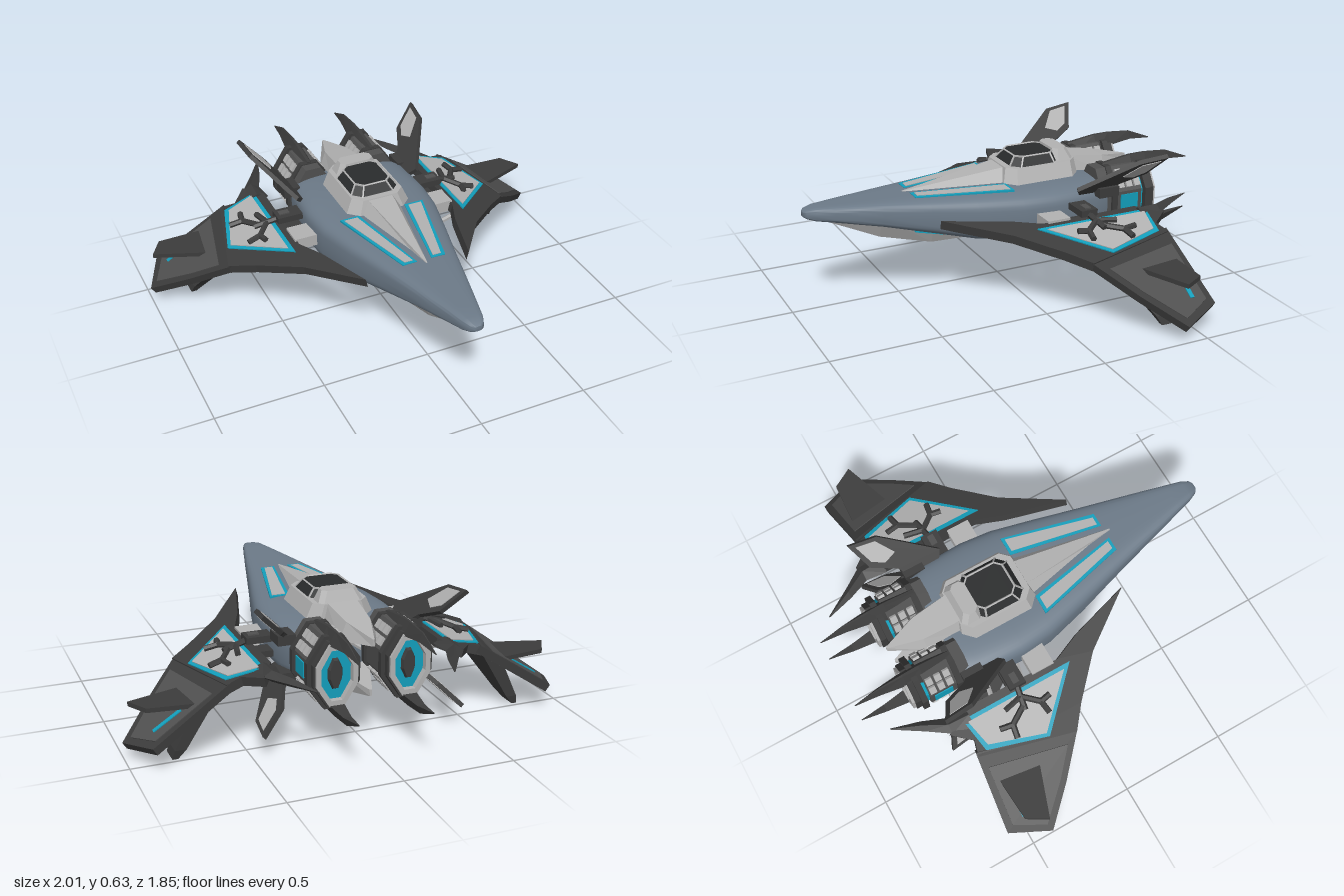
import * as THREE from 'three';
import { toCreasedNormals } from 'three/addons/utils/BufferGeometryUtils.js';

const paint = (color, flatShading = true) => new THREE.MeshStandardMaterial({ color, flatShading });
const MID_Y = 0.37; // height of the up/down mirror plane

// Skin a list of rings; the first ring runs counter-clockwise seen from its own end
function loft(rings) {
  const n = rings[0].length, pos = [];
  const tri = (a, b, c) => pos.push(...a, ...b, ...c);
  for (let i = 0; i < rings.length - 1; i++) {
    const a = rings[i], b = rings[i + 1];
    for (let j = 0; j < n; j++) {
      const k = (j + 1) % n;
      tri(a[j], b[j], a[k]);
      tri(a[k], b[j], b[k]);
    }
  }
  const first = rings[0], last = rings[rings.length - 1];
  for (let k = 1; k < n - 1; k++) {
    tri(first[0], first[k], first[k + 1]);
    tri(last[0], last[k + 1], last[k]);
  }
  const g = new THREE.BufferGeometry();
  g.setAttribute('position', new THREE.Float32BufferAttribute(pos, 3));
  g.computeVertexNormals();
  return g;
}

// Ring shapes for lofts along z
const trap = (z, wTop, wBot, yTop, yBot) =>
  [[wBot, yBot, z], [wTop, yTop, z], [-wTop, yTop, z], [-wBot, yBot, z]];
const octPoints = (rx, ry) => [[1, -0.32], [1, 0.32], [0.36, 1], [-0.36, 1],
  [-1, 0.32], [-1, -0.32], [-0.36, -1], [0.36, -1]].map(([x, y]) => [x * rx, y * ry]);
const octRing = (cx, cy, z, rx, ry) => octPoints(rx, ry).map(([x, y]) => [cx + x, cy + y, z]);
// Clipped rectangle for lofts going down in y
const deck = (y, w, z0, z1, c) => [[w, z1 - c], [w, z0 + c], [w - c, z0], [c - w, z0],
  [-w, z0 + c], [-w, z1 - c], [c - w, z1], [w - c, z1]].map(([x, z]) => [x, y, z]);

// Flat plate from [u, z] points; u runs along U, off lifts it off its plane
function plate(pts, origin, U, depth, off = 0, V = [0, 0, -1]) {
  const shape = new THREE.Shape(pts.map(([u, z]) => new THREE.Vector2(u, -z)));
  const g = new THREE.ExtrudeGeometry(shape, { depth, bevelEnabled: false });
  g.translate(0, 0, off - depth / 2);
  const u = new THREE.Vector3(...U), v = new THREE.Vector3(...V);
  const w = u.clone().cross(v).normalize();
  return g.applyMatrix4(new THREE.Matrix4().makeBasis(u, v, w).setPosition(...origin));
}

// Straight bar between two points
function rod(a, b, r, sides = 4) {
  const p = new THREE.Vector3(...a), q = new THREE.Vector3(...b), d = q.clone().sub(p);
  const g = new THREE.CylinderGeometry(r, r, d.length(), sides);
  g.applyQuaternion(new THREE.Quaternion().setFromUnitVectors(new THREE.Vector3(0, 1, 0), d.normalize()));
  return g.translate(...p.add(q).multiplyScalar(0.5).toArray());
}

const box = (w, h, d, x, y, z) => new THREE.BoxGeometry(w, h, d).translate(x, y, z);

function reflect(geo, axis) {
  const g = geo.index ? geo.toNonIndexed() : geo.clone(), p = g.attributes.position;
  for (let i = 0; i < p.count; i++) {
    if (axis === 'x') p.setX(i, -p.getX(i));
    else p.setY(i, 2 * MID_Y - p.getY(i));
  }
  for (let i = 0; i < p.count; i += 3) { // restore winding
    const b = [p.getX(i + 1), p.getY(i + 1), p.getZ(i + 1)];
    p.setXYZ(i + 1, p.getX(i + 2), p.getY(i + 2), p.getZ(i + 2));
    p.setXYZ(i + 2, ...b);
  }
  g.computeVertexNormals();
  return g;
}

export function createModel() {
  const model = new THREE.Group();
  model.name = 'starfighter';
  const slate = paint(0x6c7a88, false), dark = paint(0x3c3c3c), mid = paint(0x505050);
  const light = paint(0xb2b2b2), teal = paint(0x139fbc), glass = paint(0x2a2c2d);

  const put = (name, geo, mat) => {
    const m = new THREE.Mesh(geo, mat);
    m.name = name;
    model.add(m);
  };
  const pair = (name, geo, mat) => {
    put(name + 'Left', geo, mat);
    put(name + 'Right', reflect(geo, 'x'), mat);
  };
  const quad = (name, geo, mat) => {
    pair(name + 'Upper', geo, mat);
    pair(name + 'Lower', reflect(geo, 'y'), mat);
  };

  // Hull: rounded-box sections [z, half width, top, bottom]
  const hull = [[0.93, 0.016, 0.473, 0.45], [0.918, 0.032, 0.482, 0.443], [0.88, 0.049, 0.489, 0.43],
    [0.8, 0.071, 0.49, 0.415], [0.7, 0.099, 0.49, 0.395], [0.6, 0.126, 0.49, 0.375], [0.4, 0.18, 0.49, 0.325],
    [0.2, 0.237, 0.49, 0.275], [0, 0.288, 0.49, 0.252], [-0.15, 0.303, 0.49, 0.25], [-0.36, 0.295, 0.49, 0.25],
    [-0.44, 0.268, 0.475, 0.26]];
  const bulge = (v) => Math.sign(v) * Math.abs(v) ** 0.46;
  put('hull', toCreasedNormals(loft(hull.map(([z, w, t, b]) => Array.from({ length: 48 }, (_, i) => {
    const a = i / 48 * Math.PI * 2;
    return [w * bulge(Math.cos(a)), (t + b) / 2 + (t - b) / 2 * bulge(Math.sin(a)), z];
  }))), 0.8), slate);

  // Keel and spine
  put('keel', loft([trap(0.84, 0.03, 0.015, 0.45, 0.42), trap(0.6, 0.1, 0.05, 0.42, 0.315),
    trap(0.36, 0.12, 0.065, 0.38, 0.252), trap(0.1, 0.13, 0.07, 0.35, 0.245), trap(-0.1, 0.13, 0.07, 0.33, 0.2),
    trap(-0.36, 0.13, 0.07, 0.33, 0.19), trap(-0.46, 0.08, 0.05, 0.3, 0.2), trap(-0.66, 0.006, 0.004, 0.27, 0.24)]), light);
  put('spineFront', loft([trap(0.47, 0.003, 0.006, 0.492, 0.47), trap(0, 0.06, 0.11, 0.55, 0.47)]), light);
  put('spineTail', loft([trap(-0.33, 0.07, 0.1, 0.56, 0.46), trap(-0.52, 0.055, 0.085, 0.53, 0.45),
    trap(-0.68, 0.003, 0.006, 0.5, 0.47)]), light);
  put('tailInset', plate([[-0.035, -0.38], [0.035, -0.38], [0.03, -0.47], [0, -0.55], [-0.03, -0.47]],
    [0, 0.499, 0], [1, 0, 0], 0.012, 0, [0, -0.158, -1]), light);

  // Cockpit
  put('cockpitBase', loft([deck(0.555, 0.125, -0.35, 0.0, 0.04), deck(0.465, 0.165, -0.36, 0.025, 0.05)]), light);
  const roof = deck(0.594, 0.085, -0.255, -0.06, 0.03), sill = deck(0.55, 0.117, -0.275, -0.025, 0.04);
  put('canopyGlass', loft([roof, sill]), glass);
  roof.forEach((p, i) => {
    put('canopyPillar', rod(p, sill[i], 0.005), light);
    put('canopyRoofFrame', rod(p, roof[(i + 1) % 8], 0.005), light);
  });
  put('canopyHump', loft([deck(0.605, 0.08, -0.32, -0.25, 0.02), deck(0.54, 0.11, -0.35, -0.24, 0.02)]), light);

  // Hull inlay strips, above and below
  const strip = (o) => [[0.12 - o, 0.02 - o], [0.2 + o, 0.02 - o], [0.095 + o, 0.44 + o], [0.04 - o, 0.44 + o]];
  [['Top', [0, 0.482, 0], [0, 0, -1], 1], ['Under', [0, 0.26, 0], [0, -0.17, -1], -1]].forEach(([n, o, V, s]) => {
    pair('stripGlow' + n, plate(strip(0.006), o, [1, 0, 0], 0.02, 0, V), teal);
    pair('strip' + n, plate(strip(-0.008), o, [1, 0, 0], 0.022, s * 0.002, V), light);
  });

  // Wings: a shallow inner panel and a steep, slightly twisted outer panel
  const inner = { o: [0, 0.465, 0], U: [1, -0.25, 0], V: [0, 0, -1] };
  const outer = { o: [0, 0.745, 0], U: [1, -0.643, 0], V: [0, -0.092, -1] };
  const wingY = (x) => 0.465 - 0.25 * x;
  const onWing = (p, pts, d, off) => plate(pts, p.o, p.U, d, off, p.V);
  pair('wingInner', onWing(inner, [[0.245, 0.39], [0.43, 0.13], [0.6, -0.03], [0.7, -0.11], [0.59, -0.55],
    [0.52, -0.53], [0.45, -0.615], [0.38, -0.5], [0.385, -0.03], [0.33, 0.1]], 0.042, 0), dark);
  pair('wingOuter', onWing(outer, [[0.685, -0.1], [0.85, -0.25], [0.995, -0.4], [0.91, -0.585], [0.565, -0.55]], 0.036, 0), dark);
  const sheet = (o) => [[0.425 - o, 0.0 + o * 2.2], [0.655 + o, -0.23 + o * 0.4], [0.575 + o, -0.5 - o], [0.425 - o, -0.53 - o]];
  [1, -1].forEach((s) => {
    const n = s > 0 ? 'Top' : 'Under';
    pair('wingPanelGlow' + n, onWing(inner, sheet(0.006), 0.01, s * 0.021), teal);
    pair('wingPanel' + n, onWing(inner, sheet(-0.012), 0.012, s * 0.024), light);
    pair('wingTipPanel' + n, onWing(outer, [[0.72, -0.17], [0.83, -0.27], [0.96, -0.41], [0.89, -0.55], [0.64, -0.53]], 0.008, s * 0.018), mid);
    pair('wingTipGlow' + n, onWing(outer, [[0.76, -0.475], [0.88, -0.475], [0.88, -0.495], [0.76, -0.495]], 0.01, s * 0.021), teal);
    // Branching clamp lying on the wing panel
    const at = (x, z) => [x, wingY(x) + s * 0.04, z];
    [[0.4, -0.25, 0.52, -0.27], [0.46, -0.26, 0.52, -0.19], [0.52, -0.19, 0.58, -0.18], [0.52, -0.19, 0.51, -0.14],
      [0.5, -0.27, 0.55, -0.35], [0.55, -0.35, 0.61, -0.36], [0.55, -0.35, 0.54, -0.41], [0.46, -0.26, 0.48, -0.35]]
      .forEach(([a, b, c, d]) => pair('clampArm' + n, rod(at(a, b), at(c, d), 0.014, 6), dark));
    pair('clampBody' + n, box(0.12, 0.03, 0.08, 0.36, wingY(0.36) + s * 0.035, -0.25), dark);
    pair('clampCap' + n, box(0.05, 0.012, 0.03, 0.38, wingY(0.38) + s * 0.055, -0.25), mid);
  });
  pair('wingRearSpike', loft([[0.42, 0.055, -0.5], [0.415, 0.04, -0.6], [0.36, 0.026, -0.7], [0.3, 0.003, -0.83]]
    .map(([x, w, z]) => [[w, 0], [0, 0.025], [-w, 0], [0, -0.025]].map(([dx, dy]) => [x + dx, 0.37 + dy * Math.min(1, w * 30), z]))), dark);
  pair('winglet', plate([[0.62, -0.34], [0.72, -0.315], [0.975, -0.405], [0.92, -0.5], [0.7, -0.515]],
    [0, 0.235, 0], [1, 0.022, 0], 0.02), dark);
  const finRing = (y, x0, x1, zr, zf) => [[x1, y, zf], [x1, y, zr], [x0, y, zr], [x0, y, zf]];
  pair('wingUnderFin', loft([finRing(0.27, 0.62, 0.7, -0.5, -0.2), finRing(0.05, 0.755, 0.805, -0.49, -0.37),
    finRing(0.008, 0.79, 0.815, -0.48, -0.395)]), dark);

  // Wing struts
  pair('strutBlock', box(0.11, 0.055, 0.11, 0.345, 0.37, -0.11), light);
  [-0.04, -0.18, -0.34].forEach((z) => pair('wingStrut', new THREE.TubeGeometry(new THREE.CatmullRomCurve3([
    new THREE.Vector3(0.26, 0.285, z), new THREE.Vector3(0.36, 0.295, z - 0.02), new THREE.Vector3(0.5, 0.315, z - 0.05)]),
  6, 0.012, 6), light));

  // Diagonal stabiliser fins
  const d45 = Math.SQRT1_2, finAt = [0.3, 0.475, 0], finU = [d45, d45, 0];
  quad('stabiliser', plate([[0.01, -0.25], [0.205, -0.485], [0.225, -0.62], [0.085, -0.57], [0.02, -0.46], [-0.04, -0.42], [-0.03, -0.27]],
    finAt, finU, 0.02), dark);
  [1, -1].forEach((s) => quad('stabiliserPanel', plate([[0.1, -0.44], [0.19, -0.5], [0.205, -0.59], [0.11, -0.555], [0.075, -0.5]],
    finAt, finU, 0.006, s * 0.01), light));
  quad('stabiliserMount', box(0.08, 0.045, 0.1, 0.295, 0.455, -0.4), dark);

  // Engines
  const ex = 0.165, ring = (z, rx, ry) => octRing(ex, MID_Y, z, rx, ry);
  pair('engineBody', loft([ring(-0.4, 0.106, 0.155), ring(-0.61, 0.106, 0.155)]), mid);
  pair('engineNeck', loft([ring(-0.61, 0.092, 0.135), ring(-0.65, 0.092, 0.135)]), teal);
  [-0.45, -0.625].forEach((z) => pair('engineCollar', loft([ring(z, 0.118, 0.16), ring(z - 0.028, 0.118, 0.16)]), dark));
  const tube = (rx, ry, hx, hy, z, d) => {
    const toV = ([x, y]) => new THREE.Vector2(x, y);
    const shape = new THREE.Shape(octPoints(rx, ry).map(toV));
    shape.holes.push(new THREE.Path(octPoints(hx, hy).map(toV)));
    return new THREE.ExtrudeGeometry(shape, { depth: d, bevelEnabled: false }).translate(ex, MID_Y, z);
  };
  pair('nozzle', tube(0.1, 0.145, 0.078, 0.12, -0.68, 0.05), dark);
  pair('nozzleRim', tube(0.092, 0.136, 0.07, 0.11, -0.693, 0.03), light);
  pair('nozzleGlow', loft([ring(-0.65, 0.08, 0.122), ring(-0.665, 0.08, 0.122)]), teal);
  pair('nozzleCore', loft([ring(-0.66, 0.035, 0.07), ring(-0.68, 0.025, 0.06)]), dark);
  pair('engineSideGlow', box(0.012, 0.07, 0.09, 0.27, MID_Y, -0.545), teal);
  // Vent blocks on the slanted engine faces, which run from [0.038, 0.155] to [0.106, 0.05]
  const slope = Math.atan2(-0.105, 0.068);
  for (const s of [1, -1]) for (let i = 0; i < 2; i++) for (let j = 0; j < 3; j++) {
    const t = 0.3 + i * 0.42, g = new THREE.BoxGeometry(0.038, 0.024, 0.03).rotateZ(s * slope);
    g.translate(ex + s * (0.038 + 0.068 * t), MID_Y + 0.155 - 0.105 * t, -0.505 - j * 0.042);
    quad('engineVent', g, light);
  }
  // Blade spikes sweeping back above and below each engine
  quad('engineSpike', loft([[-0.455, 0.05, 0.535, 0.47], [-0.6, 0.052, 0.555, 0.48], [-0.68, 0.034, 0.557, 0.5],
    [-0.8, 0.018, 0.548, 0.51], [-0.92, 0.002, 0.5, 0.496]].map(([z, w, t, b]) =>
    [[ex + w, b, z], [ex + w * 0.15, t, z], [ex - w * 0.15, t, z], [ex - w, b, z]])), dark);
  return model;
}
